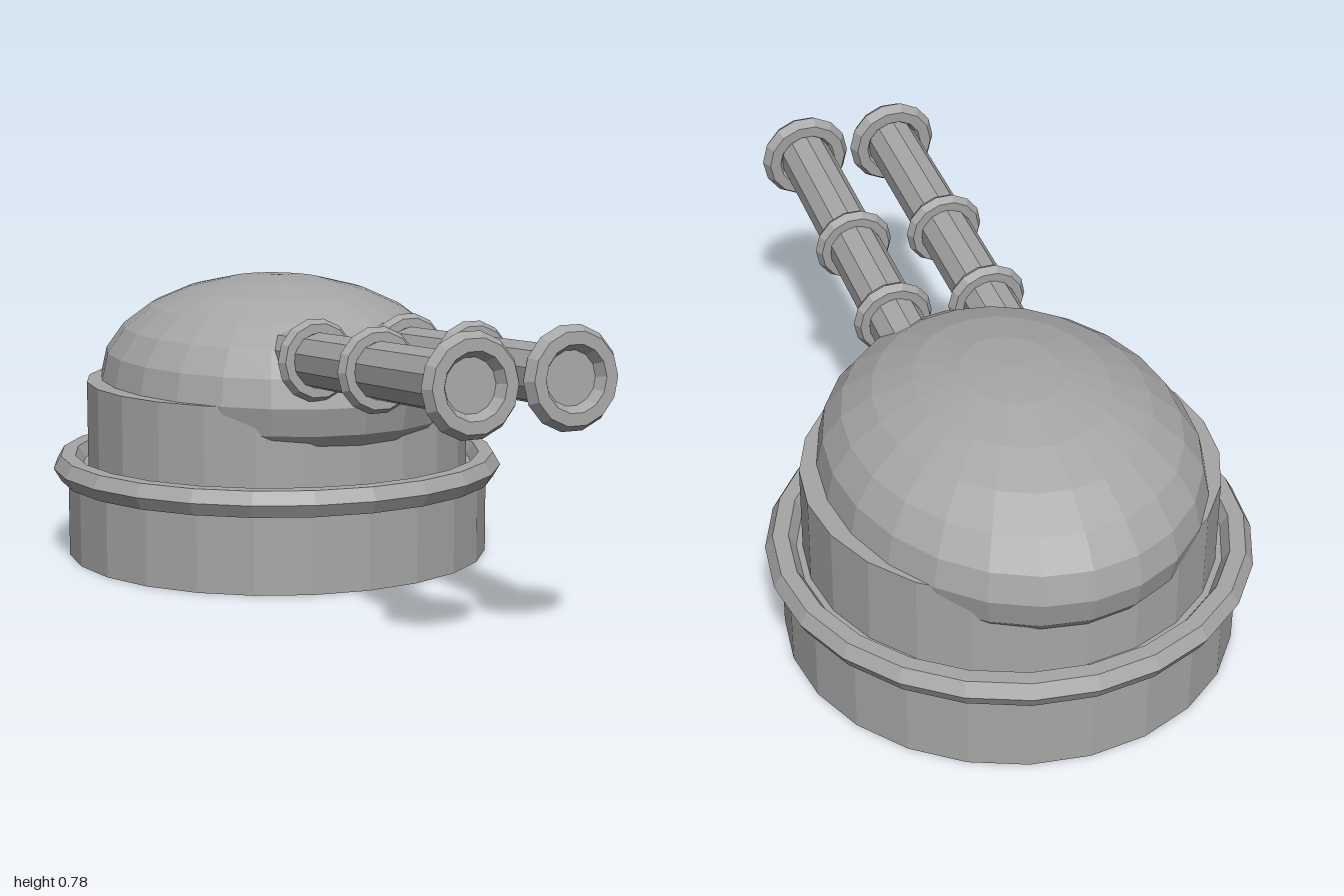
import * as THREE from 'three';

export function createModel() {
  const model = new THREE.Group();
  model.name = 'gunTurret';
  const grey = new THREE.MeshStandardMaterial({ color: 0xa6a6a6 });
  grey.name = 'plain grey';

  // Faceted mesh: unshared corners give flat normals
  const add = (parent, name, geometry, x = 0, y = 0, z = 0) => {
    const flat = geometry.toNonIndexed();
    flat.computeVertexNormals();
    const mesh = new THREE.Mesh(flat, grey);
    mesh.name = name;
    mesh.position.set(x, y, z);
    parent.add(mesh);
    return mesh;
  };

  // Round body, stacked from the ground up
  const body = new THREE.Group();
  body.name = 'body';
  body.position.z = -0.38;
  model.add(body);
  add(body, 'base', new THREE.CylinderGeometry(0.58, 0.58, 0.245, 24), 0, 0.1225);
  add(body, 'collarRing', new THREE.TorusGeometry(0.58, 0.04, 6, 24).rotateX(Math.PI / 2), 0, 0.243);
  add(body, 'drum', new THREE.CylinderGeometry(0.525, 0.525, 0.28, 24), 0, 0.34);
  add(body, 'dome', new THREE.SphereGeometry(1, 24, 12).scale(0.475, 0.285, 0.572), 0, 0.48);

  // Twin barrels, tilted slightly upward; each group starts at its muzzle
  for (const side of [-1, 1]) {
    const gun = new THREE.Group();
    gun.name = side > 0 ? 'leftGun' : 'rightGun';
    gun.position.set(side * 0.13, 0.655, 0.972);
    gun.rotation.x = -0.061;
    model.add(gun);
    const length = 1.05;
    add(gun, 'barrel', new THREE.CylinderGeometry(0.072, 0.072, length, 10).rotateX(Math.PI / 2), 0, 0, -length / 2);
    add(gun, 'muzzleRing', new THREE.TorusGeometry(0.095, 0.03, 6, 14));
    for (const z of [-0.467, -0.815]) {
      add(gun, 'barrelRing', new THREE.TorusGeometry(0.083, 0.024, 6, 14), 0, 0, z);
    }
  }
  return model;
}
